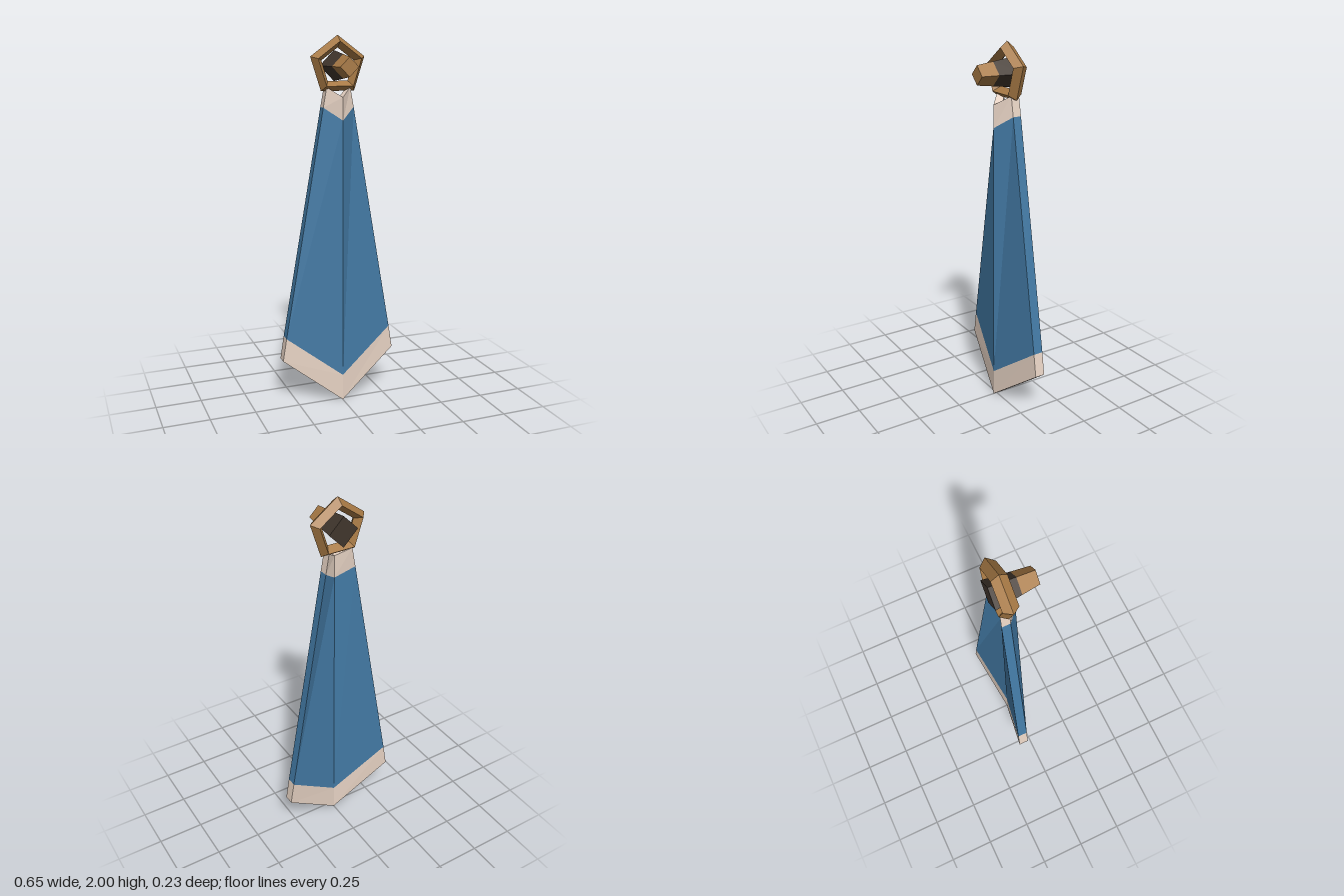
import * as THREE from 'three';

const mat = (color) => new THREE.MeshStandardMaterial({ color, flatShading: true });

// One level of the folded cloth: a chevron outline with thickness, dipping at the centre
function chevron({ w, sideY, midY, backZ }) {
  return [
    [-w, sideY, -0.045], [0, midY, 0.02], [w, sideY, -0.045],
    [w, sideY, backZ], [0, midY, -0.035], [-w, sideY, backZ],
  ];
}

// Skin two levels together, optionally closing the bottom or the top
function band(low, high, capBottom, capTop) {
  const lo = chevron(low), hi = chevron(high), pos = [];
  const quad = (a, b, c, d) => pos.push(...a, ...b, ...c, ...a, ...c, ...d);
  for (let i = 0; i < 6; i++) {
    const j = (i + 1) % 6;
    quad(lo[i], lo[j], hi[j], hi[i]);
  }
  if (capTop) {
    quad(hi[0], hi[1], hi[4], hi[5]);
    quad(hi[1], hi[2], hi[3], hi[4]);
  }
  if (capBottom) {
    quad(lo[5], lo[4], lo[1], lo[0]);
    quad(lo[4], lo[3], lo[2], lo[1]);
  }
  const geo = new THREE.BufferGeometry();
  geo.setAttribute('position', new THREE.Float32BufferAttribute(pos, 3));
  geo.computeVertexNormals();
  return geo;
}

export function createModel() {
  const group = new THREE.Group();
  const blue = mat(0x437aa5), cream = mat(0xe6d2c3);
  const bronze = mat(0xa87a45), iron = mat(0x41362d);

  const add = (name, geo, material) => {
    const mesh = new THREE.Mesh(geo, material);
    mesh.name = name;
    group.add(mesh);
    return mesh;
  };

  // Banner cloth with pale trim at both ends
  const levels = [
    { w: 0.326, sideY: 0.25, midY: 0, backZ: -0.1 },
    { w: 0.305, sideY: 0.378, midY: 0.148, backZ: -0.1 },
    { w: 0.085, sideY: 1.63, midY: 1.565, backZ: -0.092 },
    { w: 0.066, sideY: 1.735, midY: 1.685, backZ: -0.091 },
  ];
  add('bottomTrim', band(levels[0], levels[1], true, false), cream);
  add('cloth', band(levels[1], levels[2], false, false), blue);
  add('topTrim', band(levels[2], levels[3], false, true), cream);

  // Five-sided hanging ring with a diamond section
  const hubY = 1.842;
  const ring = add('hangingRing',
    new THREE.TorusGeometry(0.126, 0.032, 4, 5).rotateZ(Math.PI / 2).scale(1, 1, 1.25), bronze);
  ring.position.set(0, hubY, -0.06);

  // Tapered square peg: dark shaft with a bronze tip
  const peg = (name, rFront, rBack, zFront, zBack, material) => {
    const geo = new THREE.CylinderGeometry(rFront, rBack, zFront - zBack, 4).rotateX(Math.PI / 2);
    add(name, geo, material).position.set(0, hubY, (zFront + zBack) / 2);
  };
  peg('pegTip', 0.05, 0.062, 0.115, 0.022, bronze);
  peg('pegShaft', 0.062, 0.08, 0.022, -0.115, iron);

  return group;
}
